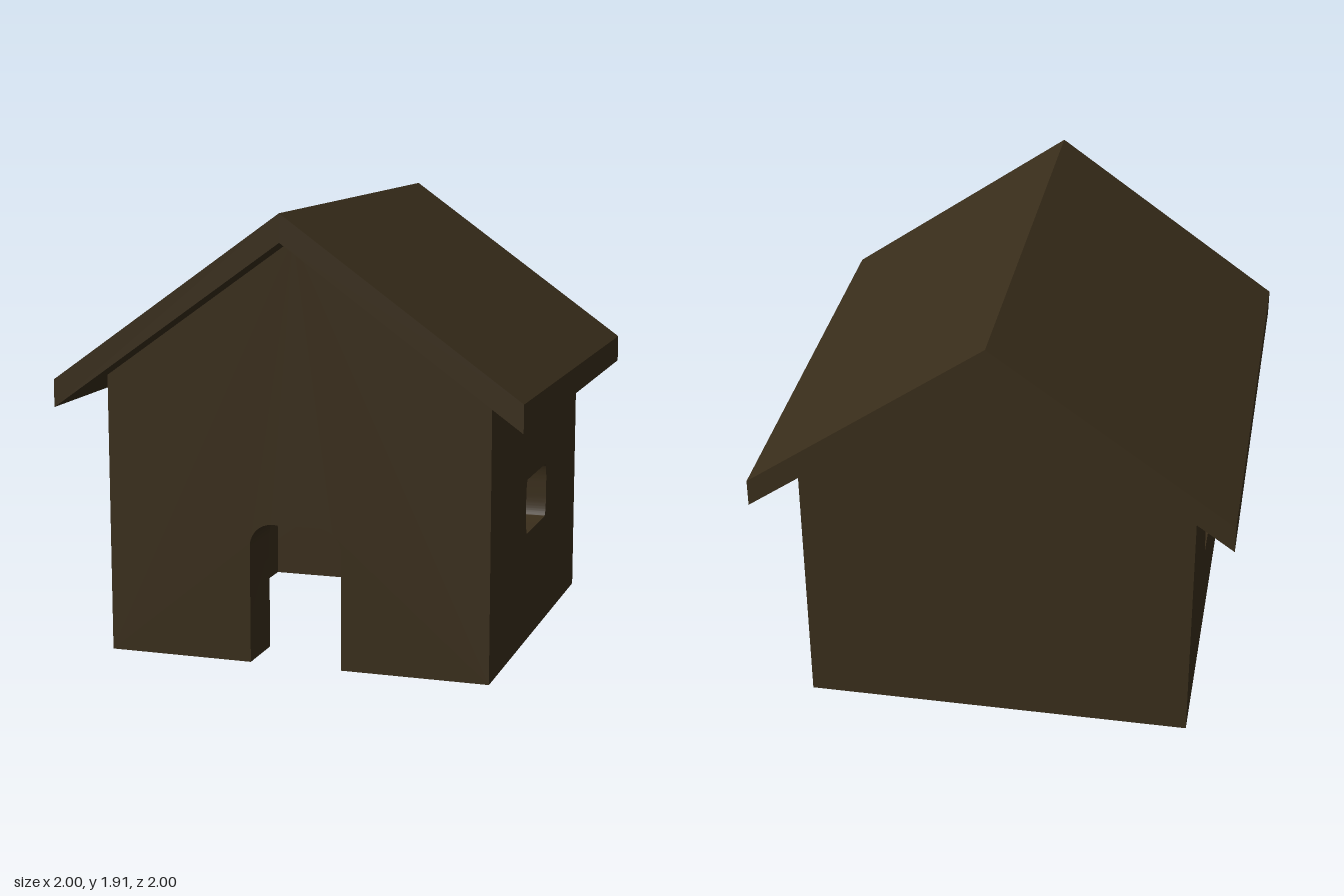
import * as THREE from 'three';
import { toCreasedNormals } from 'three/addons/utils/BufferGeometryUtils.js';

const HALF = 0.833;    // half width and depth of the walls
const THICK = 0.235;   // wall thickness
const PEAK = 1.79;     // underside of the ridge
const SLOPE = 0.713;   // roof pitch
const roofUnderside = (x) => PEAK - Math.abs(x) * SLOPE;

const material = new THREE.MeshStandardMaterial({ color: 0x3a2e1b });

function polygon(points) {
  return new THREE.Shape(points.map(([x, y]) => new THREE.Vector2(x, y)));
}

function extrude(shape, depth) {
  return new THREE.ExtrudeGeometry(shape, { depth, bevelEnabled: false, curveSegments: 10 });
}

function addMesh(group, name, geometry) {
  const mesh = new THREE.Mesh(toCreasedNormals(geometry, 0.6), material);
  mesh.name = name;
  group.add(mesh);
}

// Gable wall, optionally with a doorway with rounded top corners
function gableShape(withDoor) {
  const s = new THREE.Shape();
  s.moveTo(-HALF, 0);
  if (withDoor) {
    const w = 0.2, h = 0.6, r = 0.1;
    s.lineTo(-w, 0);
    s.lineTo(-w, h - r);
    s.absarc(-w + r, h - r, r, Math.PI, Math.PI / 2, true);
    s.absarc(w - r, h - r, r, Math.PI / 2, 0, true);
    s.lineTo(w, 0);
  }
  s.lineTo(HALF, 0);
  s.lineTo(HALF, roofUnderside(HALF));
  s.lineTo(0, PEAK);
  s.lineTo(-HALF, roofUnderside(HALF));
  s.closePath();
  return s;
}

// Window opening with elliptical corners
function windowHole() {
  const w = 0.2, h = 0.12, y = 0.6, rx = 0.026, ry = 0.09;
  const p = new THREE.Path();
  [[1, 1], [-1, 1], [-1, -1], [1, -1]].forEach(([sx, sy], i) => {
    const a = i * Math.PI / 2;
    p.absellipse(sx * (w - rx), y + sy * (h - ry), rx, ry, a, a + Math.PI / 2, false, 0);
  });
  p.closePath();
  return p;
}

// Side wall between the gables, its top sloped to meet the roof
function sideWall(side) {
  const d = HALF - THICK;
  const shape = polygon([[-d, 0], [d, 0], [d, 1.2], [-d, 1.2]]);
  shape.holes.push(windowHole());
  const g = extrude(shape, THICK);
  g.rotateY(side * Math.PI / 2).translate(side * d, 0, 0);
  const pos = g.attributes.position;
  for (let i = 0; i < pos.count; i++) {
    if (pos.getY(i) > 1.1) pos.setY(i, roofUnderside(pos.getX(i)));
  }
  return g;
}

export function createModel() {
  const group = new THREE.Group();
  group.name = 'house';

  // Walls
  addMesh(group, 'frontWall', extrude(gableShape(true), THICK).translate(0, 0, HALF - THICK));
  addMesh(group, 'backWall', extrude(gableShape(false), THICK).translate(0, 0, -HALF));
  addMesh(group, 'leftWall', sideWall(1));
  addMesh(group, 'rightWall', sideWall(-1));

  // Overhanging roof
  const rise = 0.117;
  const eave = roofUnderside(1);
  const roof = polygon([
    [-1, eave], [0, PEAK], [1, eave],
    [1, eave + rise], [0, PEAK + rise], [-1, eave + rise],
  ]);
  addMesh(group, 'roof', extrude(roof, 2).translate(0, 0, -1));

  return group;
}
